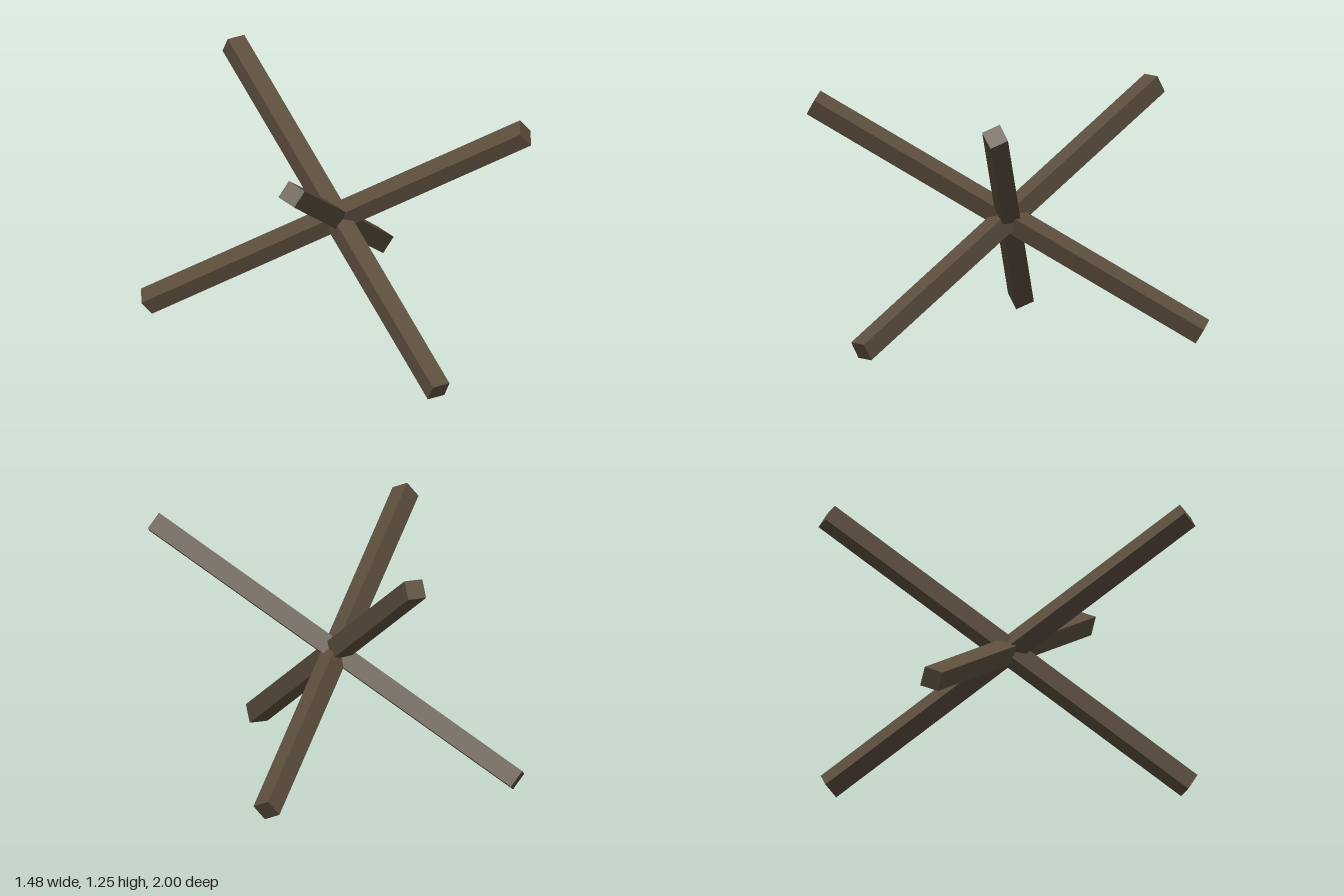
import * as THREE from 'three';

const THICKNESS = 0.097;
const CENTER_Y = 0.626;

export function createModel() {
  const model = new THREE.Group();
  model.name = 'crossedBeams';

  const wood = new THREE.MeshStandardMaterial({ color: 0x5c4e3d });
  wood.name = 'dark wood';

  // Square beam through the centre; halfAxis points from the centre to its upper end.
  // One pair of side faces stays parallel to the z axis's perpendicular plane.
  function addBeam(name, halfAxis) {
    const along = halfAxis.clone().normalize();
    const across = new THREE.Vector3(0, 0, 1).cross(along).normalize();
    const depth = new THREE.Vector3().crossVectors(across, along);
    const beam = new THREE.Mesh(
      new THREE.BoxGeometry(THICKNESS, 2 * halfAxis.length(), THICKNESS), wood);
    beam.name = name;
    beam.quaternion.setFromRotationMatrix(
      new THREE.Matrix4().makeBasis(across, along, depth));
    beam.position.y = CENTER_Y;
    model.add(beam);
  }

  // One beam rises to the back, two rise to the front corners
  addBeam('middleBeam', new THREE.Vector3(0, 0.57, -0.975));
  addBeam('leftBeam', new THREE.Vector3(0.685, 0.57, 0.689));
  addBeam('rightBeam', new THREE.Vector3(-0.685, 0.57, 0.689));

  return model;
}
